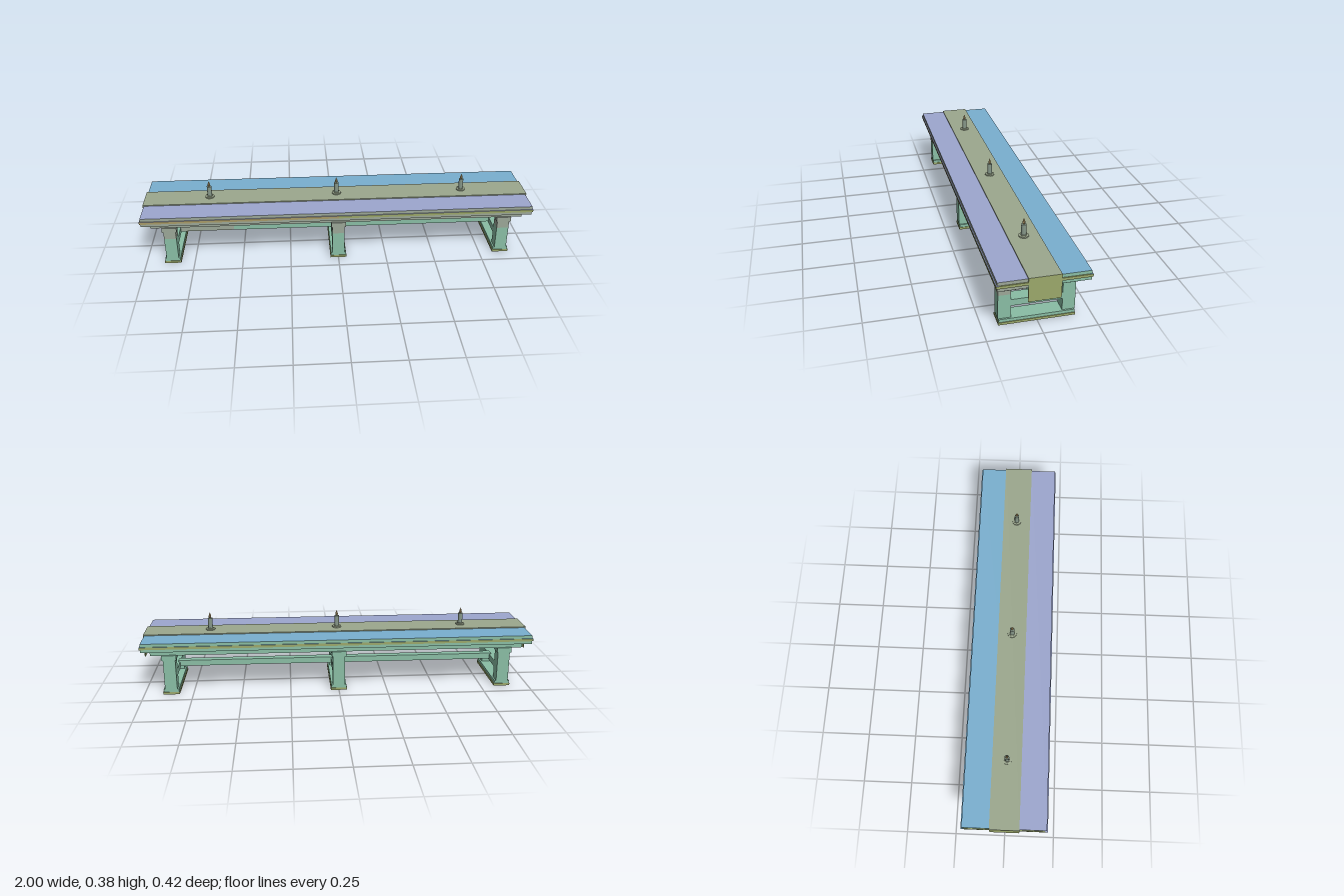
import * as THREE from 'three';

const mat = (name, color) => {
  const m = new THREE.MeshStandardMaterial({ color });
  m.name = name;
  return m;
};

export function createModel() {
  const teal = mat('teal', 0x8abea5);
  const gray = mat('gray', 0x9ca798);
  const olive = mat('olive', 0x9ba86b);
  const blue = mat('blue', 0x7ab0d0);
  const lavender = mat('lavender', 0x9da7cf);
  const sage = mat('sage', 0x9ca88e);
  const tan = mat('tan', 0xa89a68);
  const candleGray = mat('candle gray', 0x87988a);
  const flameTan = mat('flame tan', 0xb59c6a);

  const model = new THREE.Group();
  model.name = 'banquetTable';

  // Box given by its minimum and maximum on each axis
  const box = (parent, name, material, [x0, x1], [y0, y1], [z0, z1]) => {
    const mesh = new THREE.Mesh(new THREE.BoxGeometry(x1 - x0, y1 - y0, z1 - z0), material);
    mesh.position.set((x0 + x1) / 2, (y0 + y1) / 2, (z0 + z1) / 2);
    mesh.name = name;
    parent.add(mesh);
  };
  const span = (s, a, b) => (s > 0 ? [a, b] : [-b, -a]);

  // Table top: front strip gray below lavender, the rest teal below blue
  for (const [side, body, top, z] of [
    ['front', gray, lavender, [0.073, 0.205]],
    ['back', teal, blue, [-0.205, 0.073]],
  ]) {
    box(model, side + 'TopBoard', [body, body, top, body, body, body], [-0.995, 0.995], [0.24, 0.285], z);
  }

  // Solid apron under the top
  box(model, 'frontApron', gray, [-0.955, 0.955], [0.211, 0.24], [0.073, 0.173]);
  box(model, 'backApron', teal, [-0.955, 0.955], [0.211, 0.24], [-0.173, 0.073]);

  // Moulded band around the edge of the top, tan on the front right
  const bandY = [0.256, 0.269];
  const frontBand = (edge) => [olive, olive, lavender, olive, edge, olive];
  box(model, 'frontBandRight', frontBand(tan), [-1, 0], bandY, [0.195, 0.21]);
  box(model, 'frontBandLeft', frontBand(olive), [0, 1], bandY, [0.195, 0.21]);
  box(model, 'backBand', [olive, olive, blue, olive, olive, olive], [-1, 1], bandY, [-0.21, -0.195]);
  for (const e of [1, -1]) {
    box(model, 'endBand', olive, span(e, 0.985, 1), bandY, [-0.195, 0.195]);
  }

  // Runner cloth along the top, hanging over both ends
  box(model, 'runner', sage, [-1, 1], [0.284, 0.29], [-0.073, 0.073]);
  for (const e of [1, -1]) {
    box(model, 'runnerDrop', [olive, olive, sage, olive, olive, olive],
      span(e, 0.997, 1.001), [0.173, 0.29], [-0.073, 0.073]);
  }

  // Three trestles, each with a cross beam flush with its legs
  for (const x of [-0.862, 0, 0.862]) {
    const trestle = new THREE.Group();
    trestle.name = 'trestle';
    trestle.position.x = x;
    model.add(trestle);
    box(trestle, 'footPad', olive, [-0.042, 0.042], [0, 0.012], [-0.176, 0.176]);
    box(trestle, 'foot', teal, [-0.039, 0.039], [0.012, 0.027], [-0.173, 0.173]);
    box(trestle, 'crossBeam', teal, [-0.031, 0.031], [0.087, 0.119], [-0.117, 0.117]);
    for (const s of [1, -1]) {
      const upper = s > 0 ? gray : teal;
      box(trestle, 'lowerLeg', teal, [-0.031, 0.031], [0.027, 0.147], span(s, 0.117, 0.176));
      box(trestle, 'upperLeg', upper, [-0.031, 0.031], [0.147, 0.187], span(s, 0.117, 0.176));
      box(trestle, 'legCapital', upper, [-0.037, 0.037], [0.187, 0.213], span(s, 0.11, 0.182));
    }
  }

  // Long stretcher tying the trestles together
  box(model, 'stretcherRight', [teal, teal, teal, teal, gray, teal], [-0.84, -0.55], [0.095, 0.126], [-0.019, 0.019]);
  box(model, 'stretcher', teal, [-0.55, 0.84], [0.095, 0.126], [-0.019, 0.019]);

  // Candles: stepped holder, wax and pointed flame
  const lathe = (pts, n) => {
    const geo = new THREE.LatheGeometry(pts.map(([r, y]) => new THREE.Vector2(r, y)), n).toNonIndexed();
    geo.computeVertexNormals();
    return geo;
  };
  const holderGeo = lathe([[0, 0], [0.024, 0], [0.024, 0.006], [0.015, 0.007], [0.015, 0.01], [0, 0.01]], 12);
  const waxGeo = new THREE.CylinderGeometry(0.012, 0.012, 0.055, 12);
  const flameGeo = lathe([[0, 0.062], [0.004, 0.062], [0.007, 0.07], [0.005, 0.079], [0, 0.092]], 8);
  for (const x of [-0.663, 0, 0.663]) {
    const candle = new THREE.Group();
    candle.name = 'candle';
    candle.position.set(x, 0.29, 0);
    const add = (name, geo, material, y = 0) => {
      const mesh = new THREE.Mesh(geo, material);
      mesh.name = name;
      mesh.position.y = y;
      candle.add(mesh);
    };
    add('holder', holderGeo, sage);
    add('wax', waxGeo, candleGray, 0.0345);
    add('flame', flameGeo, flameTan);
    model.add(candle);
  }

  return model;
}
